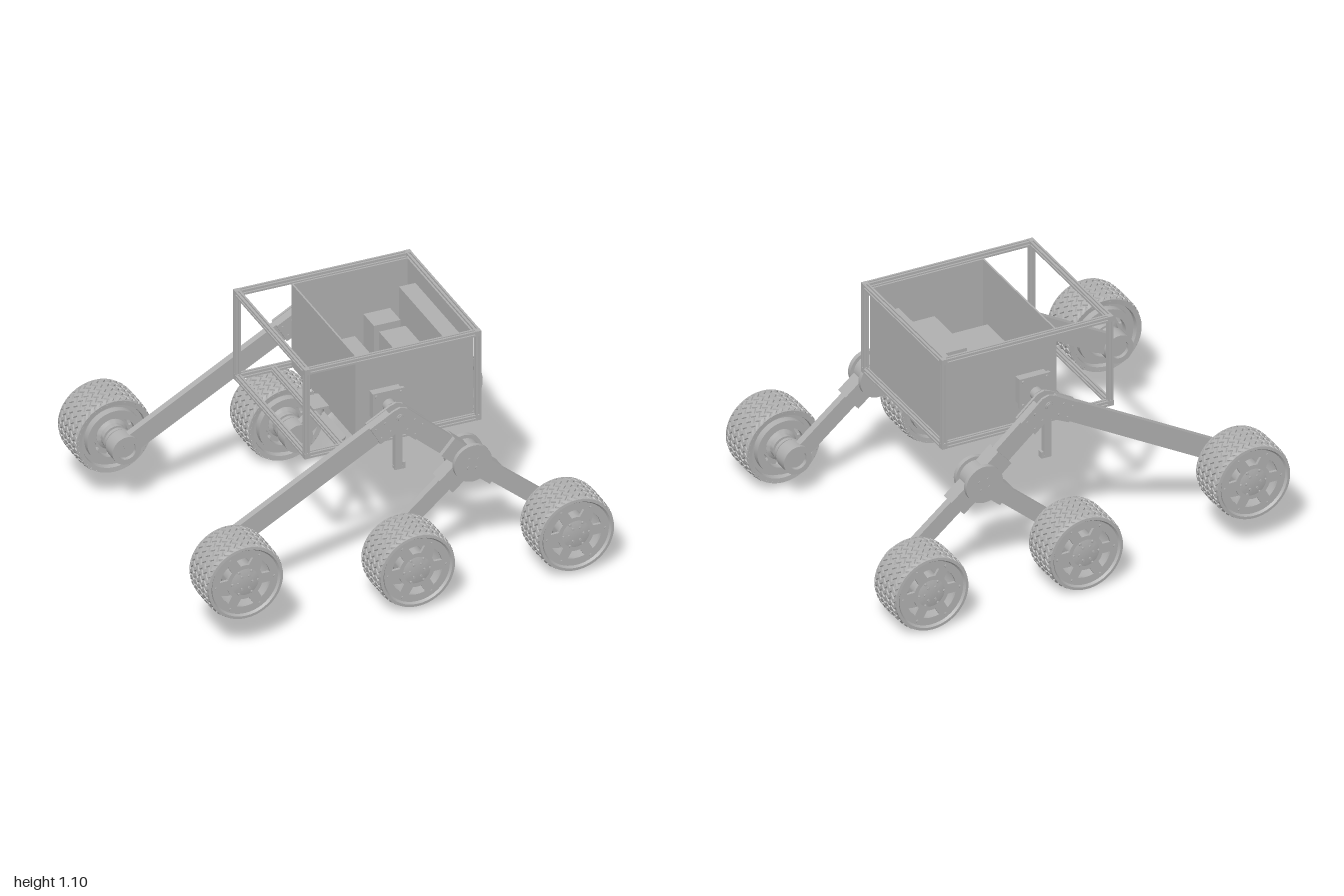
import * as THREE from 'three';
import { toCreasedNormals } from 'three/addons/utils/BufferGeometryUtils.js';

const metal = new THREE.MeshStandardMaterial({ color: 0xb0b0b0, side: THREE.DoubleSide });
metal.name = 'grey metal';

function add(parent, name, geometry, x = 0, y = 0, z = 0, angle = 0) {
  const m = new THREE.Mesh(geometry, metal);
  m.name = name;
  m.position.set(x, y, z);
  m.rotation.z = angle;
  parent.add(m);
  return m;
}
const box = (w, h, d) => new THREE.BoxGeometry(w, h, d);
// disc or shaft whose axis runs along z
const disc = (r, d, n = 32) => new THREE.CylinderGeometry(r, r, d, n).rotateX(Math.PI / 2);
// profile of [radius, z] turned around the z axis
const turned = (pts, n = 48) => toCreasedNormals(
  new THREE.LatheGeometry(pts.map(p => new THREE.Vector2(...p)), n).rotateX(Math.PI / 2), 0.5);
// flat shape, centred on its thickness
const plate = (shape, d) => new THREE.ExtrudeGeometry(shape, { depth: d, bevelEnabled: false, curveSegments: 20 })
  .translate(0, 0, -d / 2);
const polygon = pts => new THREE.Shape(pts.map(p => new THREE.Vector2(...p)));

// slotted square bar running along z
function slottedBar(length, w = 0.026) {
  const h = w / 2, s = w * 0.14, pts = [];
  for (let k = 0; k < 4; k++) {
    const c = Math.round(Math.cos(k * Math.PI / 2)), q = Math.round(Math.sin(k * Math.PI / 2));
    for (const [x, y] of [[h, -h], [h, -s], [h * 0.4, -s], [h * 0.4, s], [h, s]]) pts.push([x * c - y * q, x * q + y * c]);
  }
  return plate(polygon(pts), length);
}

// tyre tread: zigzag lugs and grooves wrapped around a barrel profile
function treadGeometry() {
  const lugs = 36, steps = [[0, 0], [0.58, 0], [0.66, 1], [0.92, 1]];
  const rows = 11, cols = lugs * 4, pos = [], idx = [];
  for (let i = 0; i < rows; i++) {
    const t = i / (rows - 1) * 2 - 1, r = 0.19 - 0.006 * t ** 4 - (Math.abs(t) === 1 ? 0.004 : 0);
    for (let j = 0; j < cols; j++) {
      const [f, groove] = steps[j % 4];
      const a = (Math.floor(j / 4) + f + (i % 2) * 0.6) / lugs * Math.PI * 2;
      const rr = r - groove * 0.007;
      pos.push(rr * Math.cos(a), rr * Math.sin(a), t * 0.106);
      if (i < rows - 1) {
        const k = (j + 1) % cols, p = i * cols, q = p + cols;
        idx.push(p + j, p + k, q + k, p + j, q + k, q + j);
      }
    }
  }
  const g = new THREE.BufferGeometry();
  g.setAttribute('position', new THREE.Float32BufferAttribute(pos, 3));
  g.setIndex(idx);
  return toCreasedNormals(g, 0.25);
}

// wheel disc with six curved windows
function windowedDisc() {
  const s = new THREE.Shape().absarc(0, 0, 0.162, 0, Math.PI * 2);
  for (let k = 0; k < 6; k++) {
    const a = Math.PI / 2 + k * Math.PI / 3, w = 0.33;
    const hole = new THREE.Path();
    hole.absarc(0, 0, 0.124, a - w, a + w, false);
    hole.absarc(0, 0, 0.086, a + w * 0.7, a - w * 0.7, true);
    hole.closePath();
    s.holes.push(hole);
  }
  return plate(s, 0.014);
}

const tread = treadGeometry();
const wheelDisc = windowedDisc();
const rim = turned([[0.158, -0.104], [0.181, -0.106], [0.178, 0], [0.181, 0.106], [0.168, 0.107], [0.162, 0.098], [0.155, 0.09], [0.155, -0.09], [0.158, -0.104]]);
const hub = turned([[0, -0.118], [0.06, -0.118], [0.06, -0.09], [0.075, -0.08], [0.075, 0.094], [0.05, 0.1], [0, 0.1]]);
const motor = turned([[0, 0.02], [0.045, 0.02], [0.045, 0], [0.07, 0], [0.07, 0.075], [0.042, 0.075], [0.042, 0.09],
  [0.062, 0.09], [0.062, 0.108], [0.045, 0.108], [0.045, 0.145], [0, 0.145]], 32);

// wheel with its outer face towards local +z, origin at the wheel centre
function makeWheel() {
  const g = new THREE.Group();
  g.name = 'wheel';
  add(g, 'tyreTread', tread);
  add(g, 'rim', rim);
  add(g, 'outerWheelDisc', wheelDisc, 0, 0, 0.089);
  add(g, 'innerWheelDisc', wheelDisc, 0, 0, -0.07);
  add(g, 'wheelHub', hub);
  add(g, 'innerFlange', turned([[0.1, -0.112], [0.135, -0.112], [0.135, -0.075], [0.1, -0.075], [0.1, -0.112]]));
  add(g, 'hubMotor', motor, 0, 0, -0.242);
  for (let k = 0; k < 6; k++) {
    const a = k * Math.PI / 3;
    for (const r of [0.035, 0.062]) add(g, 'hubBolt', disc(0.006, 0.01, 8), r * Math.cos(a), r * Math.sin(a), 0.101);
    add(g, 'rimBolt', disc(0.006, 0.008, 8), 0.142 * Math.cos(a), 0.142 * Math.sin(a), 0.098);
  }
  return g;
}

// straight beam between two points in the xy plane
function beam(g, name, [x1, y1], [x2, y2], width, depth, z) {
  add(g, name, box(Math.hypot(x2 - x1, y2 - y1), width, depth), (x1 + x2) / 2, (y1 + y2) / 2, z, Math.atan2(y2 - y1, x2 - x1));
}
const along = (a, b, d) => {
  const l = Math.hypot(b[0] - a[0], b[1] - a[1]);
  return [a[0] + (b[0] - a[0]) * d / l, a[1] + (b[1] - a[1]) * d / l];
};

// rocker and bogie suspension for one side (s = +1 or -1 in z)
function makeSuspension(s) {
  const g = new THREE.Group();
  g.name = s > 0 ? 'frontSuspension' : 'backSuspension';
  const pivot = [0.075, 0.84], joint = [0.415, 0.54];
  const wheels = [[-0.805, 0.352], [0.033, 0.212], [0.808, 0.212]];
  const z = s * 0.51;
  for (const [x, y] of wheels) {
    const w = makeWheel();
    w.position.set(x, y, s * 0.717);
    if (s < 0) w.rotation.y = Math.PI;
    g.add(w);
  }
  // arms
  beam(g, 'longArm', along(pivot, wheels[0], 0.03), wheels[0], 0.098, 0.034, z);
  beam(g, 'rockerArm', along(pivot, joint, 0.03), joint, 0.095, 0.034, z);
  for (const w of wheels.slice(1)) {
    beam(g, 'bogieArm', joint, w, 0.078, 0.036, z);
    beam(g, 'bogieClamp', joint, along(joint, w, 0.16), 0.098, 0.075, z);
  }
  beam(g, 'rockerClamp', joint, along(joint, pivot, 0.15), 0.1, 0.08, z);
  // pivot gussets with bolts
  const gusset = plate(polygon([[-0.147, -0.024], [-0.03, 0.042], [0, 0.052], [0.033, 0.042], [0.138, -0.054], [0.072, -0.13],
    [0, -0.066], [-0.098, -0.112]]), 0.012);
  for (const dz of [-0.024, 0.024]) add(g, 'pivotGusset', gusset, ...pivot, z + dz);
  for (const end of [wheels[0], joint]) for (const d of [0.07, 0.12]) for (const v of [-0.028, 0.028]) {
    const p = along(pivot, end, d), a = Math.atan2(end[1] - pivot[1], end[0] - pivot[0]);
    add(g, 'gussetBolt', disc(0.006, 0.07, 8), p[0] - v * Math.sin(a), p[1] + v * Math.cos(a), z);
  }
  // bogie joint
  for (const dz of [-0.05, 0.05]) add(g, 'jointDisc', disc(0.092, 0.022, 40), ...joint, z + dz);
  add(g, 'jointCore', disc(0.075, 0.09), ...joint, z);
  for (let k = 0; k < 4; k++) {
    const a = k * Math.PI / 2 + 0.6;
    add(g, 'jointBolt', disc(0.007, 0.128, 8), joint[0] + 0.03 * Math.cos(a), joint[1] + 0.03 * Math.sin(a), z);
  }
  // axle into the chassis
  add(g, 'pivotAxle', disc(0.02, 0.15, 20), ...pivot, s * 0.47);
  add(g, 'axleCollar', disc(0.03, 0.04, 20), ...pivot, s * 0.43);
  add(g, 'pivotNut', disc(0.016, 0.08, 6), ...pivot, z);
  // hanging hook
  add(g, 'hookBar', box(0.034, 0.2, 0.03), 0.073, 0.675, z);
  add(g, 'hookFoot', box(0.05, 0.014, 0.03), 0.08, 0.574, z);
  add(g, 'hookLip', box(0.012, 0.032, 0.03), 0.1, 0.583, z);
  g.position.y = s > 0 ? 0 : -0.017;
  return g;
}

function makeChassis() {
  const g = new THREE.Group();
  g.name = 'chassis';
  const xs = [-0.312, 0.522], ys = [0.655, 1.087], zs = [-0.378, 0.378];
  // slotted frame
  const bar = (name, axis, x, y, z, length) => {
    const m = add(g, name, slottedBar(length), x, y, z);
    if (axis === 'x') m.rotation.y = Math.PI / 2;
    if (axis === 'y') m.rotation.x = Math.PI / 2;
  };
  for (const y of ys) {
    for (const z of zs) bar('sideRail', 'x', 0.105, y, z, 0.834);
    for (const x of xs) bar('endRail', 'z', x, y, 0, 0.756);
  }
  for (const x of xs) for (const z of zs) {
    bar('cornerPost', 'y', x, 0.871, z, 0.432);
    for (const y of ys) add(g, 'cornerBlock', box(0.027, 0.027, 0.027), x, y, z);
  }
  bar('crossRail', 'z', -0.137, 0.655, 0, 0.756);
  // open-topped equipment bin
  const x0 = -0.055, x1 = 0.508, cx = (x0 + x1) / 2;
  add(g, 'binFloor', box(x1 - x0, 0.012, 0.7), cx, 0.662, 0);
  for (const x of [x0, x1]) add(g, 'binEndWall', box(0.008, 0.425, 0.7), x, 0.873, 0);
  for (const s of [-1, 1]) add(g, 'binSideWall', box(x1 - x0, 0.425, 0.008), cx, 0.873, s * 0.348);
  for (const [a, b, c, d, top] of [[-0.03, 0.21, -0.26, 0.26, 0.8], [0.24, 0.37, -0.235, -0.12, 0.92],
    [0.24, 0.37, -0.065, 0.25, 0.92], [0.42, 0.5, -0.25, 0.25, 1.01]]) {
    add(g, 'equipmentBlock', box(b - a, top - 0.665, d - c), (a + b) / 2, (top + 0.665) / 2, (c + d) / 2);
  }
  // pivot mounting plates
  for (const s of [-1, 1]) {
    add(g, 'pivotMount', box(0.155, 0.15, 0.016), 0.077, 0.832, s * 0.398);
    add(g, 'mountBacking', box(0.14, 0.13, 0.04), 0.077, 0.832, s * 0.371);
    for (const dx of [-0.06, 0.06]) for (const dy of [-0.06, 0.06]) add(g, 'mountBolt', disc(0.007, 0.01, 8), 0.077 + dx, 0.832 + dy, s * 0.409);
  }
  // balance bar beneath the floor
  const shape = new THREE.Shape();
  shape.absarc(0.21, 0, 0.03, -Math.PI / 2, Math.PI / 2);
  shape.absarc(-0.21, 0, 0.03, Math.PI / 2, Math.PI * 1.5);
  const bb = add(g, 'balanceBar', plate(shape, 0.01).rotateX(Math.PI / 2).rotateY(Math.PI / 2), -0.08, 0.6, 0);
  bb.updateMatrix();
  add(g, 'balanceShaft', new THREE.CylinderGeometry(0.011, 0.011, 0.105, 16), -0.08, 0.622, 0);
  add(g, 'balanceCollar', new THREE.CylinderGeometry(0.02, 0.02, 0.025, 16), -0.08, 0.635, 0);
  add(g, 'balanceMount', box(0.09, 0.01, 0.12), -0.09, 0.672, 0);
  return g;
}

export function createModel() {
  const model = new THREE.Group();
  model.name = 'rover';
  model.add(makeChassis(), makeSuspension(1), makeSuspension(-1));
  return model;
}
